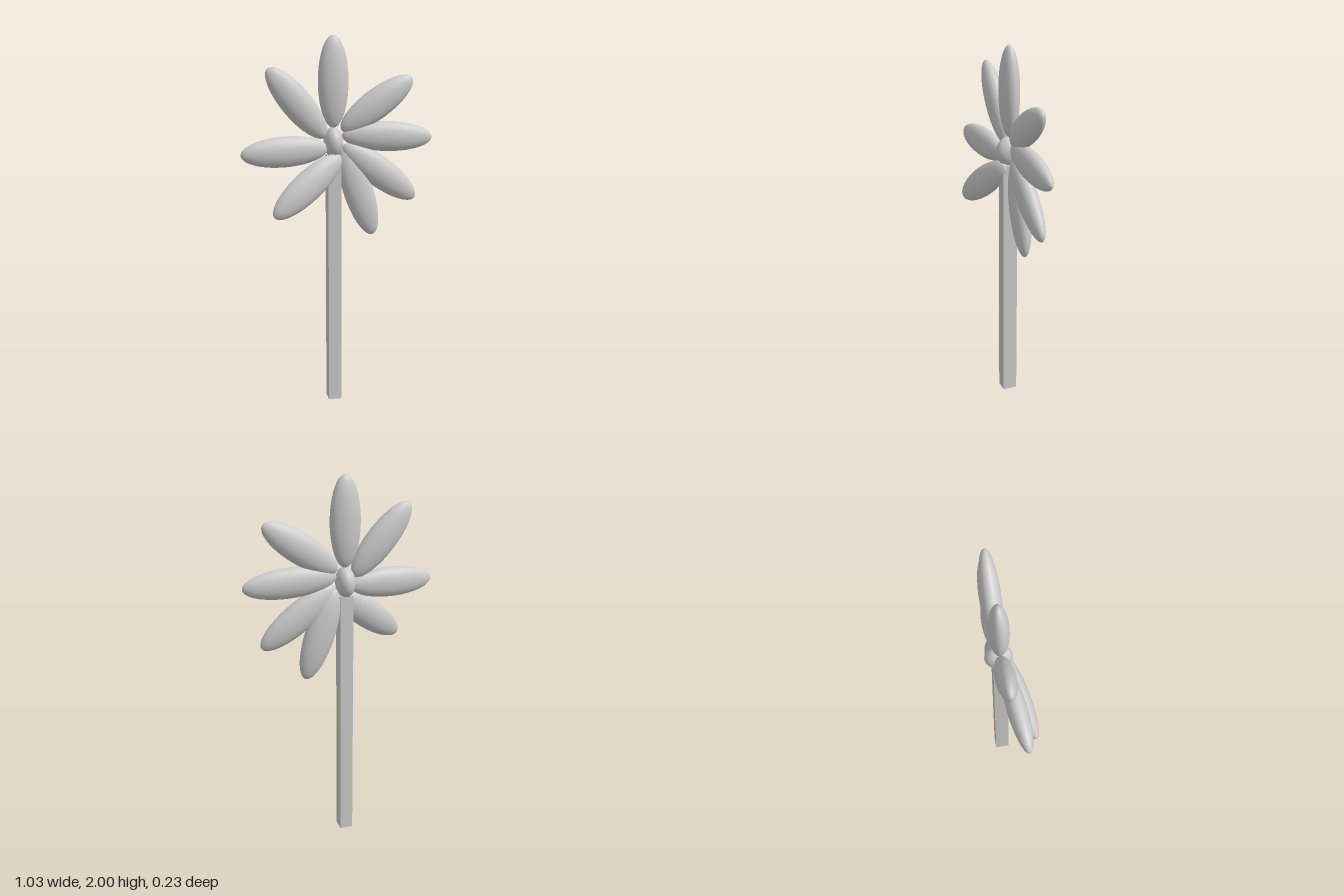
import * as THREE from 'three';

const material = new THREE.MeshStandardMaterial({ color: 0xcccccc });

// Ellipsoid petal stretched between its root and its tip, flat face towards z
function makePetal(root, tip) {
  const a = new THREE.Vector3(...root);
  const b = new THREE.Vector3(...tip);
  const along = b.clone().sub(a);
  const halfLength = along.length() / 2;
  along.normalize();
  const across = new THREE.Vector3().crossVectors(along, new THREE.Vector3(0, 0, 1)).normalize();
  const normal = new THREE.Vector3().crossVectors(across, along);
  const petal = new THREE.Mesh(new THREE.SphereGeometry(1, 40, 28), material);
  petal.scale.set(0.08, halfLength, 0.05);
  petal.quaternion.setFromRotationMatrix(new THREE.Matrix4().makeBasis(across, along, normal));
  petal.position.addVectors(a, b).multiplyScalar(0.5);
  return petal;
}

export function createModel() {
  const flower = new THREE.Group();
  flower.name = 'flower';

  // Square stem
  const stem = new THREE.Mesh(new THREE.BoxGeometry(0.07, 1.38, 0.078), material);
  stem.name = 'stem';
  stem.position.set(-0.022, 0.69, -0.041);
  flower.add(stem);

  // Egg-shaped flower centre
  const centre = new THREE.Mesh(new THREE.SphereGeometry(1, 40, 28), material);
  centre.name = 'flowerCentre';
  centre.scale.set(0.05, 0.08, 0.071);
  centre.position.set(-0.022, 1.448, -0.047);
  flower.add(centre);

  // Petals, clockwise from the top: root, tip
  const z = -0.045;
  const petals = [
    [[-0.022, 1.525, z], [-0.022, 2.0, z]],
    [[0.022, 1.51, z], [0.4, 1.776, z]],
    [[0.025, 1.483, z], [0.513, 1.457, z]],
    [[0.032, 1.43, z], [0.424, 1.13, z]],
    [[0.035, 1.42, -0.052], [0.195, 0.936, -0.048]],
    [[0.01, 1.38, -0.015], [-0.358, 1.09, 0.09]],
    [[-0.055, 1.42, -0.028], [-0.516, 1.408, 0.022]],
    [[-0.065, 1.475, z], [-0.362, 1.838, z]],
  ];
  petals.forEach(([root, tip], i) => {
    const petal = makePetal(root, tip);
    petal.name = `petal${i + 1}`;
    flower.add(petal);
  });

  return flower;
}
